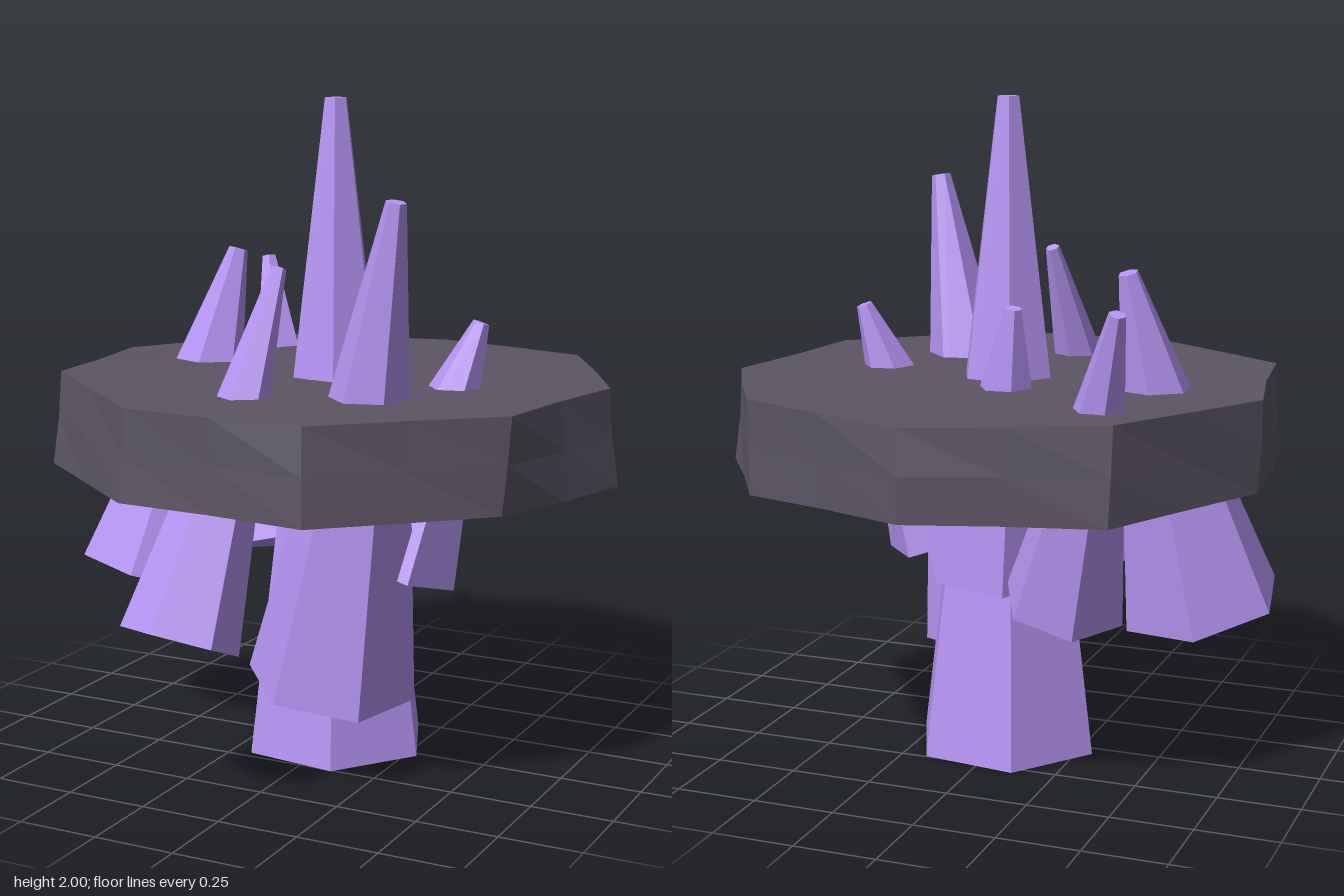
import * as THREE from 'three';

const crystalMat = new THREE.MeshStandardMaterial({ color: 0xb794f4, flatShading: true });
const rockMat = new THREE.MeshStandardMaterial({ color: 0x5c5565, flatShading: true });

// Six-sided tapered shard between two end centres; turn is the angle of one corner in degrees
function crystal(name, top, rTop, bottom, rBottom, turn) {
  const a = new THREE.Vector3(...bottom);
  const b = new THREE.Vector3(...top);
  const axis = b.clone().sub(a);
  const start = THREE.MathUtils.degToRad(90 - turn);
  const geo = new THREE.CylinderGeometry(rTop, rBottom, axis.length(), 6, 1, false, start);
  const mesh = new THREE.Mesh(geo, crystalMat);
  mesh.name = name;
  mesh.position.copy(a).add(b).multiplyScalar(0.5);
  mesh.quaternion.setFromUnitVectors(new THREE.Vector3(0, 1, 0), axis.normalize());
  return mesh;
}

// Rough nine-sided stone disc: three rings of corners and edge midpoints, closed by fans
function stoneSlab() {
  // x, z on the upper rim, then x, z on the lower rim
  const corners = [
    [0, -0.84, -0.01, -0.86], [0.54, -0.67, 0.53, -0.66], [0.81, -0.18, 0.85, -0.17],
    [0.72, 0.38, 0.71, 0.4], [0.28, 0.77, 0.29, 0.79], [-0.29, 0.76, -0.3, 0.76],
    [-0.74, 0.38, -0.76, 0.42], [-0.83, -0.16, -0.83, -0.17], [-0.55, -0.65, -0.54, -0.67],
  ];
  const upperY = [1.16, 1.17, 1.16, 1.165, 1.165, 1.165, 1.18, 1.17, 1.17];
  const lowerY = [0.9, 0.89, 0.87, 0.885, 0.89, 0.895, 0.9, 0.9, 0.89];
  const n = 18;
  const pos = [];
  const idx = [];
  for (const t of [0, 0.5, 1]) {
    for (let i = 0; i < n; i++) {
      const p = Math.floor(i / 2);
      const q = i % 2 ? (p + 1) % 9 : p;
      const mix = (f) => (f(p) + f(q)) / 2;
      const along = (k) => mix((c) => THREE.MathUtils.lerp(corners[c][k], corners[c][k + 2], t));
      const bulge = 1 + 0.008 * Math.sin(i * 2.3 + t * 3);
      pos.push(along(0) * bulge, mix((c) => THREE.MathUtils.lerp(upperY[c], lowerY[c], t)), along(1) * bulge);
    }
  }
  pos.push(0, 1.165, 0, 0, 0.895, 0);
  for (let i = 0; i < n; i++) {
    const j = (i + 1) % n;
    for (const r of [0, n]) {
      idx.push(r + i, r + j, r + n + i, r + j, r + n + j, r + n + i);
    }
    idx.push(3 * n, j, i, 3 * n + 1, 2 * n + i, 2 * n + j);
  }
  let geo = new THREE.BufferGeometry();
  geo.setAttribute('position', new THREE.Float32BufferAttribute(pos, 3));
  geo.setIndex(idx);
  geo = geo.toNonIndexed();
  geo.computeVertexNormals();
  const mesh = new THREE.Mesh(geo, rockMat);
  mesh.name = 'stoneSlab';
  return mesh;
}

export function createModel() {
  const group = new THREE.Group();
  group.name = 'crystalTable';
  group.add(stoneSlab());

  // Central spire is the standing leg; the others pierce the slab at a slant
  group.add(
    crystal('centralSpire', [-0.01, 2, -0.015], 0.036, [-0.006, 0, -0.012], 0.295, 7),
    crystal('tallCrystal', [0.36, 1.73, 0.352], 0.03, [0.1, 0.275, 0.235], 0.255, -15),
    crystal('frontCrystal', [-0.043, 1.52, 0.287], 0.022, [-0.148, 0.495, 0.7], 0.174, 30),
    crystal('rightSideCrystal', [-0.437, 1.515, -0.178], 0.03, [-0.61, 0.49, 0.05], 0.25, 21),
    crystal('leftSideCrystal', [0.467, 1.355, -0.015], 0.025, [0.235, 0.63, 0.115], 0.21, -10),
    crystal('backCornerCrystal', [-0.52, 1.45, -0.535], 0.025, [-0.29, 0.55, -0.29], 0.185, 3),
    crystal('backCrystal', [-0.112, 1.405, -0.245], 0.026, [0, 0.59, -0.13], 0.21, 0),
  );
  return group;
}
